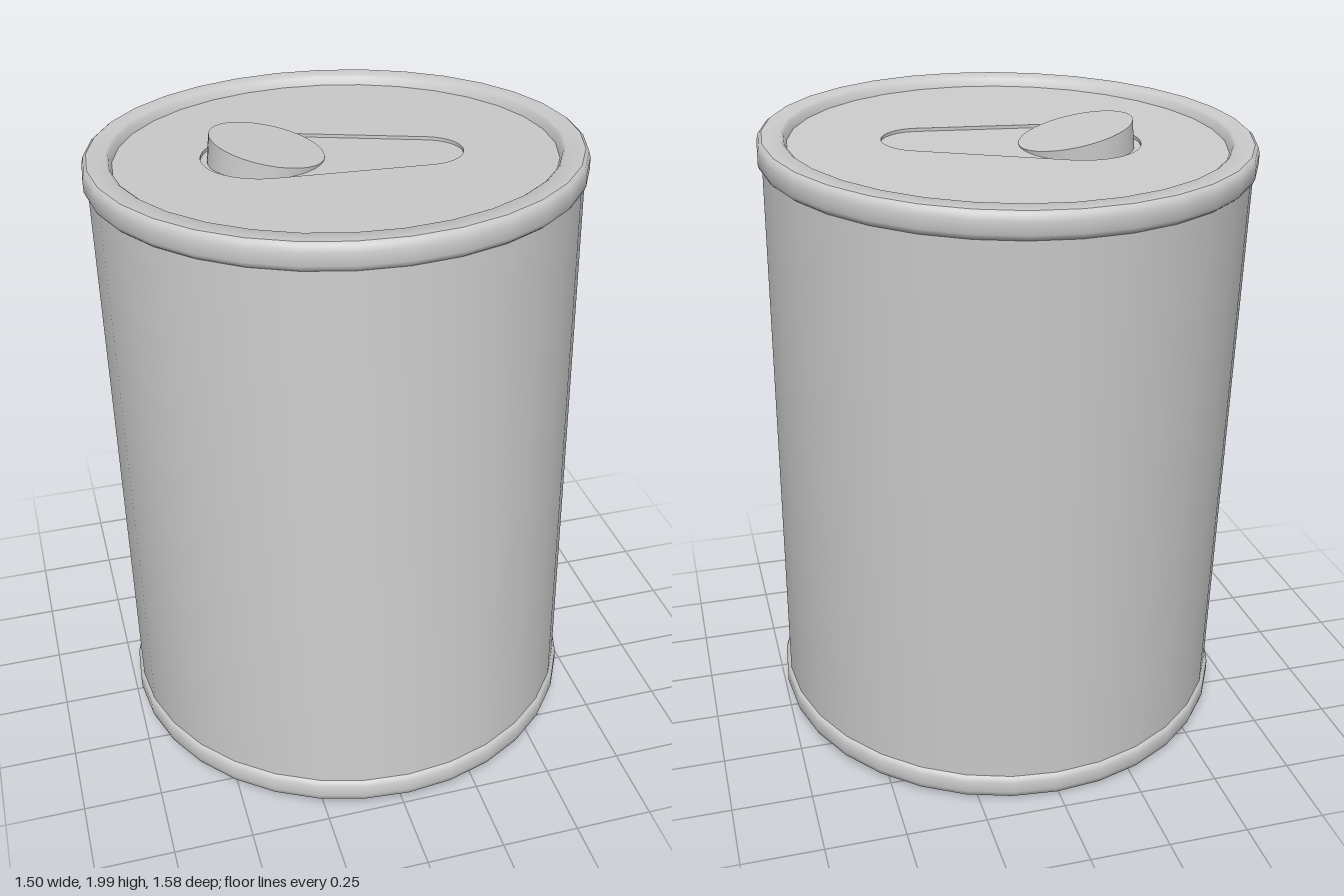
import * as THREE from 'three';
import { toCreasedNormals } from 'three/addons/utils/BufferGeometryUtils.js';

const SIDES = 32;
const TOP = 0.958;      // half the height of the can
const LID = 0.928;      // lid surface, just below the rim
const FLOOR = 0.918;    // floor of the teardrop recess

// Two circles of different radius joined by their outer tangents
function teardrop(Kind) {
  const big = { x: -0.2, y: 0.045, r: 0.193 };
  const small = { x: 0.25, y: -0.065, r: 0.12 };
  const dx = small.x - big.x, dy = small.y - big.y;
  const dir = Math.atan2(dy, dx);
  const spread = Math.acos((big.r - small.r) / Math.hypot(dx, dy));
  const path = new Kind();
  path.absarc(big.x, big.y, big.r, dir + spread, dir - spread + Math.PI * 2, false);
  path.absarc(small.x, small.y, small.r, dir - spread, dir + spread, false);
  path.closePath();
  return path;
}

export function createModel() {
  const model = new THREE.Group();
  const can = new THREE.Group();
  can.name = 'can';
  const material = new THREE.MeshStandardMaterial({ color: 0xcccccc });

  const add = (name, geometry) => {
    const mesh = new THREE.Mesh(geometry, material);
    mesh.name = name;
    can.add(mesh);
    return mesh;
  };

  // Shell: recessed base, bottom rim, wall, top rim and inner lip
  const rim = [
    [0.731, 0.878], [0.738, 0.884], [0.743, 0.896], [0.743, 0.932],
    [0.738, 0.95], [0.728, TOP], [0.672, TOP], [0.664, 0.952],
  ];
  const lower = rim.map(([r, y]) => [r, -y]).reverse();
  const profile = [[0, -0.918], [0.655, -0.918], ...lower, ...rim, [0.655, LID - 0.002]];
  const shell = new THREE.LatheGeometry(profile.map(([r, y]) => new THREE.Vector2(r, y)), SIDES);
  add('shell', toCreasedNormals(shell, 0.65));

  // Lid with a teardrop opening
  const lidShape = new THREE.Shape().absarc(0, 0, 0.66, 0, Math.PI * 2, false);
  lidShape.holes.push(teardrop(THREE.Path));
  const lid = new THREE.ExtrudeGeometry(lidShape, {
    depth: LID - FLOOR, bevelEnabled: false, curveSegments: SIDES,
  });
  lid.rotateX(-Math.PI / 2);
  add('lid', toCreasedNormals(lid, 0.6)).position.y = FLOOR;

  // Sunken floor of the teardrop
  const floor = new THREE.ShapeGeometry(teardrop(THREE.Shape), SIDES);
  floor.rotateX(-Math.PI / 2);
  add('recessFloor', floor).position.y = FLOOR;

  // Round tab whose top face is swung up about its hinge at the origin
  const radius = 0.174, lift = 0.235, turn = 0.24;
  const tab = new THREE.CylinderGeometry(radius, radius, 0.002, SIDES);
  tab.translate(-radius, 0, 0);
  const pos = tab.attributes.position;
  for (let i = 0; i < pos.count; i++) {
    if (pos.getY(i) < 0) continue;
    const x = pos.getX(i);
    pos.setXY(i, x * Math.cos(lift), 0.001 - x * Math.sin(lift));
  }
  const tabMesh = add('pullTab', toCreasedNormals(tab, 0.6));
  tabMesh.rotation.y = -turn;
  tabMesh.position.set(-0.2 + radius * Math.cos(turn), FLOOR + 0.001, -0.045 + radius * Math.sin(turn));

  // The whole can leans slightly backwards
  can.rotation.set(-0.053, 0, 0.006);
  can.position.y = 1;
  model.add(can);
  return model;
}
